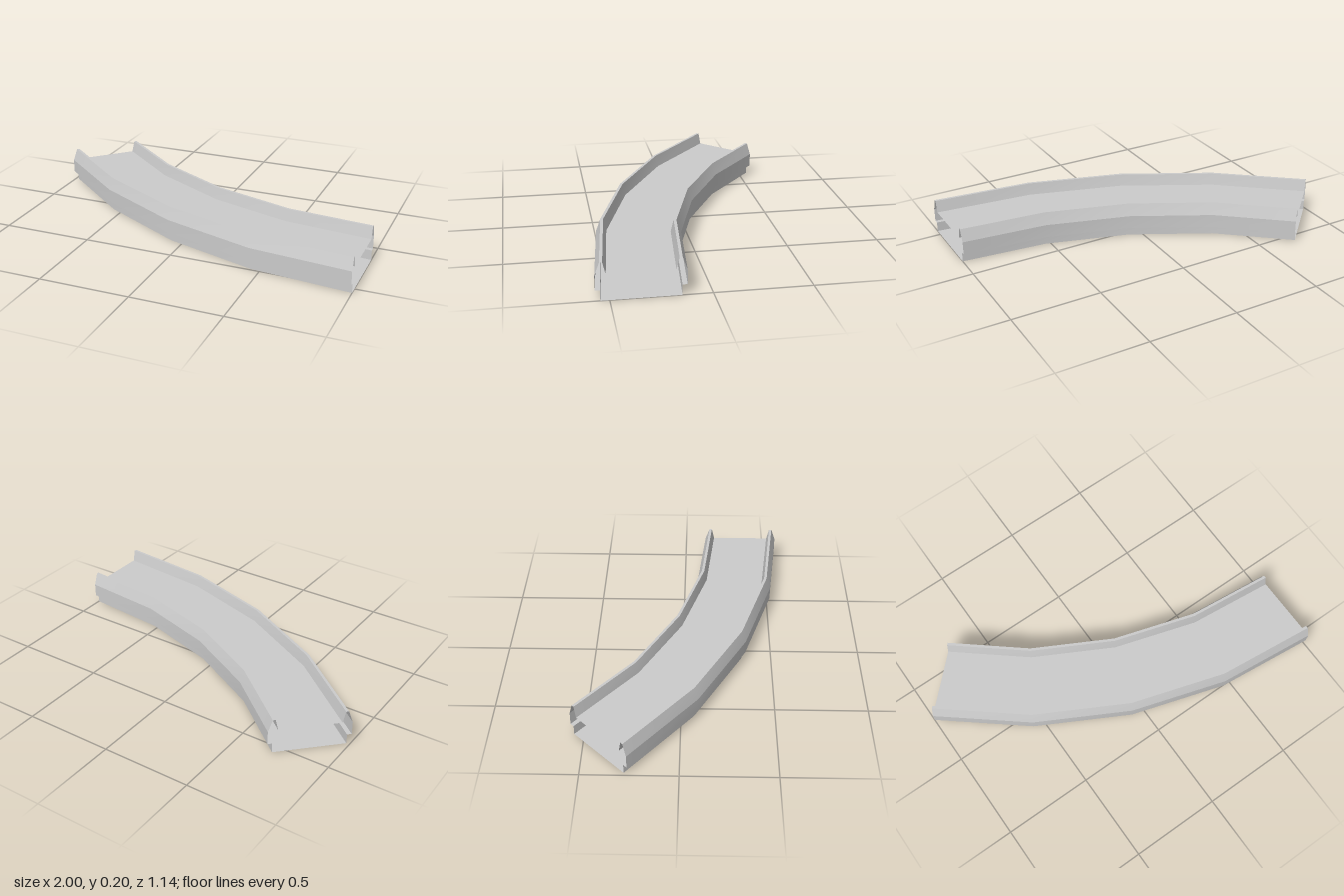
import * as THREE from 'three';

// Plan of the bend: outer and inner edge [x, z] at each station
const OUTER = [[-1, -0.26], [-0.57, 0.09], [-0.08, 0.353], [0.445, 0.514], [1, 0.57]];
const INNER = [[-0.69, -0.57], [-0.335, -0.277], [0.08, -0.056], [0.53, 0.08], [1, 0.126]];
const WIDTH = 0.444;

// One side of the cross-section: [inset from the edge, height]
const SIDE = [[0.025, 0], [0.025, 0.055], [0, 0.055], [0, 0.13], [0.024, 0.198], [0.039, 0.198], [0.054, 0.133]];
const SECTION = [...SIDE, ...SIDE.map(([d, y]) => [WIDTH - d, y]).reverse()];

// Strip swept round the bend between two neighbouring section points
function strip(p, q, material) {
  const positions = [], index = [];
  OUTER.forEach((o, i) => {
    for (const [d, y] of [p, q]) {
      const t = d / WIDTH;
      positions.push(
        THREE.MathUtils.lerp(o[0], INNER[i][0], t), y,
        THREE.MathUtils.lerp(o[1], INNER[i][1], t));
    }
    if (i > 0) {
      const a = 2 * i - 2, b = 2 * i;
      index.push(a, b, b + 1, a, b + 1, a + 1);
    }
  });
  const geometry = new THREE.BufferGeometry();
  geometry.setAttribute('position', new THREE.Float32BufferAttribute(positions, 3));
  geometry.setIndex(index);
  geometry.computeVertexNormals();
  return new THREE.Mesh(geometry, material);
}

export function createModel() {
  const model = new THREE.Group();
  model.name = 'curvedTrack';
  const material = new THREE.MeshStandardMaterial({ color: 0xcccccc, side: THREE.DoubleSide });

  const parts = {};
  for (const name of ['outerRail', 'floor', 'innerRail', 'base']) {
    parts[name] = new THREE.Group();
    parts[name].name = name;
    model.add(parts[name]);
  }

  // Hollow shell, open at both ends; creases run along the section corners
  const last = SIDE.length - 1;
  SECTION.forEach((p, k) => {
    const name = k < last ? 'outerRail' : k === last ? 'floor'
      : k < SECTION.length - 1 ? 'innerRail' : 'base';
    const mesh = strip(p, SECTION[(k + 1) % SECTION.length], material);
    mesh.name = name + 'Face';
    parts[name].add(mesh);
  });
  return model;
}
